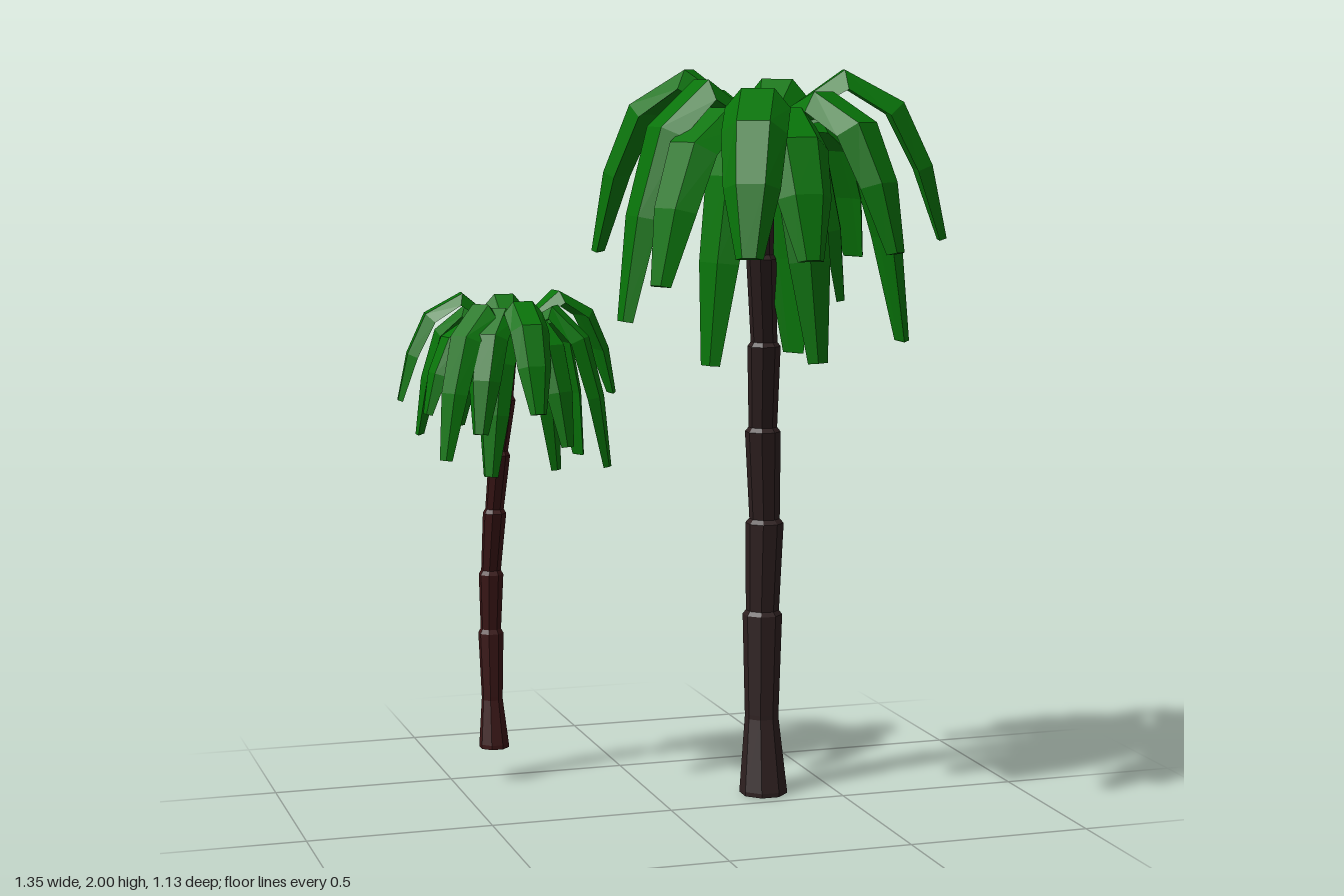
import * as THREE from 'three';

const UP = new THREE.Vector3(0, 1, 0);
const paint = (color) => new THREE.MeshStandardMaterial({ color, flatShading: true });
const leafGreen = paint(0x087409);

// Closed skin over a list of equal-length rings, capped at both ends
function loft(rings) {
  const n = rings[0].length, pos = [], idx = [];
  rings.forEach((ring) => ring.forEach((p) => pos.push(p.x, p.y, p.z)));
  for (let r = 0; r < rings.length - 1; r++) {
    for (let i = 0; i < n; i++) {
      const a = r * n + i, b = r * n + (i + 1) % n;
      idx.push(a, b, b + n, a, b + n, a + n);
    }
  }
  const last = (rings.length - 1) * n;
  for (let i = 1; i < n - 1; i++) {
    idx.push(0, i + 1, i, last, last + i, last + i + 1);
  }
  const geo = new THREE.BufferGeometry();
  geo.setAttribute('position', new THREE.Float32BufferAttribute(pos, 3));
  geo.setIndex(idx);
  const flat = geo.toNonIndexed();
  flat.computeVertexNormals();
  return flat;
}

// Trunk of stacked segments; each row is x, y, z, radius below the joint, radius above it
function makeTrunk(rows, material) {
  const rings = [];
  for (const [x, y, z, below, above] of rows) {
    for (const [radius, lift] of [[below, 0], [above, 0.012]]) {
      rings.push(Array.from({ length: 8 }, (_, i) => {
        const a = (i + 0.5) / 8 * Math.PI * 2;
        return new THREE.Vector3(x + radius * Math.cos(a), y + lift, z - radius * Math.sin(a));
      }));
    }
  }
  const mesh = new THREE.Mesh(loft(rings), material);
  mesh.name = 'trunk';
  return mesh;
}

// Flattened six-sided frond that rises from the crown, bends over and droops to its tip
const SECTION = [[1, -0.3], [0.5, 0.3], [-0.5, 0.3], [-1, -0.3], [-0.5, -0.22], [0.5, -0.22]];
const REACH = [0.03, 0.45, 0.73, 0.89, 1];
const DROP = [0, 0, 0.18, 0.55, 1];
const WIDTH = [0.45, 1.02, 1.02, 0.88, 0.42];

function makeFrond(crown, [x, z, tipY, peakY], halfWidth) {
  const out = new THREE.Vector3(x - crown.x, 0, z - crown.z);
  const length = out.length();
  out.normalize();
  const side = new THREE.Vector3().crossVectors(UP, out);
  const spine = REACH.map((f, i) => {
    const p = crown.clone().addScaledVector(out, f * length);
    if (i > 0) p.y = peakY - DROP[i] * (peakY - tipY);
    return p;
  });
  const rings = spine.map((p, i) => {
    const tangent = spine[Math.min(i + 1, 4)].clone().sub(spine[Math.max(i - 1, 0)]).normalize();
    const normal = new THREE.Vector3().crossVectors(tangent, side);
    const w = halfWidth * WIDTH[i];
    return SECTION.map(([s, t]) => p.clone().addScaledVector(side, s * w).addScaledVector(normal, t * w));
  });
  const mesh = new THREE.Mesh(loft(rings), leafGreen);
  mesh.name = 'frond';
  return mesh;
}

function makePalm(name, { trunk, bark, crown, fronds, halfWidth }) {
  const palm = new THREE.Group();
  palm.name = name;
  palm.add(makeTrunk(trunk, paint(bark)));

  const center = new THREE.Vector3(...crown);
  const foliage = new THREE.Group();
  foliage.name = 'crown';
  fronds.forEach((f) => foliage.add(makeFrond(center, f, halfWidth)));

  // Bud where the fronds meet
  const bud = new THREE.Mesh(new THREE.SphereGeometry(halfWidth * 0.6, 8, 4), leafGreen);
  bud.name = 'bud';
  bud.position.copy(center);
  foliage.add(bud);
  palm.add(foliage);
  return palm;
}

// Fronds are listed as tip x, tip z, tip y, peak y
const TALL = {
  bark: 0x2e2020,
  crown: [0.21, 1.85, 0.137],
  halfWidth: 0.082,
  trunk: [
    [0.3, 0, -0.1, 0.066, 0.066],
    [0.303, 0.21, -0.125, 0.047, 0.047],
    [0.308, 0.5, -0.137, 0.055, 0.046],
    [0.307, 0.76, -0.12, 0.053, 0.042],
    [0.288, 1.02, -0.083, 0.049, 0.039],
    [0.27, 1.26, -0.025, 0.045, 0.036],
    [0.24, 1.5, 0.035, 0.04, 0.033],
    [0.21, 1.82, 0.13, 0.032, 0.02],
  ],
  fronds: [
    [0.02, -0.22, 1.54, 1.92],
    [-0.17, -0.12, 1.52, 1.975],
    [-0.12, 0.02, 1.42, 1.88],
    [-0.19, 0.2, 1.36, 1.95],
    [-0.14, 0.34, 1.46, 1.88],
    [0.03, 0.55, 1.54, 1.93],
    [0.2, 0.535, 1.53, 1.88],
    [0.45, 0.48, 1.54, 1.92],
    [0.66, 0.27, 1.56, 1.975],
    [0.61, 0.13, 1.28, 1.9],
    [0.53, -0.02, 1.5, 1.86],
    [0.41, -0.2, 1.53, 1.95],
    // lower, steeper fronds
    [0.035, 0.21, 1.24, 1.83],
    [0.3, 0.33, 1.25, 1.83],
    [0.4, 0.21, 1.4, 1.81],
    [0.33, 0.06, 1.25, 1.81],
  ],
};

const SHORT = {
  bark: 0x3a1616,
  crown: [-0.364, 1.29, -0.3],
  halfWidth: 0.052,
  trunk: [
    [-0.383, 0.095, -0.46, 0.042, 0.042],
    [-0.383, 0.23, -0.478, 0.03, 0.03],
    [-0.383, 0.42, -0.487, 0.036, 0.029],
    [-0.383, 0.59, -0.478, 0.035, 0.028],
    [-0.38, 0.77, -0.442, 0.033, 0.026],
    [-0.376, 0.94, -0.395, 0.03, 0.024],
    [-0.37, 1.1, -0.34, 0.027, 0.021],
    [-0.364, 1.27, -0.3, 0.02, 0.015],
  ],
  fronds: [
    [-0.345, -0.555, 1.12, 1.37],
    [-0.23, -0.48, 1.05, 1.32],
    [-0.14, -0.415, 0.93, 1.33],
    [-0.065, -0.345, 1.11, 1.385],
    [-0.13, -0.16, 0.93, 1.35],
    [-0.26, -0.08, 1.0, 1.32],
    [-0.362, -0.005, 1.1, 1.37],
    [-0.5, -0.1, 1.04, 1.35],
    [-0.59, -0.13, 0.97, 1.36],
    [-0.61, -0.25, 1.08, 1.32],
    [-0.665, -0.34, 1.11, 1.385],
    [-0.59, -0.45, 1.0, 1.35],
    [-0.48, -0.45, 1.02, 1.31],
    // lower, steeper fronds
    [-0.45, -0.2, 0.91, 1.28],
    [-0.26, -0.21, 0.92, 1.28],
  ],
};

export function createModel() {
  const model = new THREE.Group();
  model.name = 'palmTrees';
  model.add(makePalm('tallPalm', TALL), makePalm('shortPalm', SHORT));
  return model;
}
